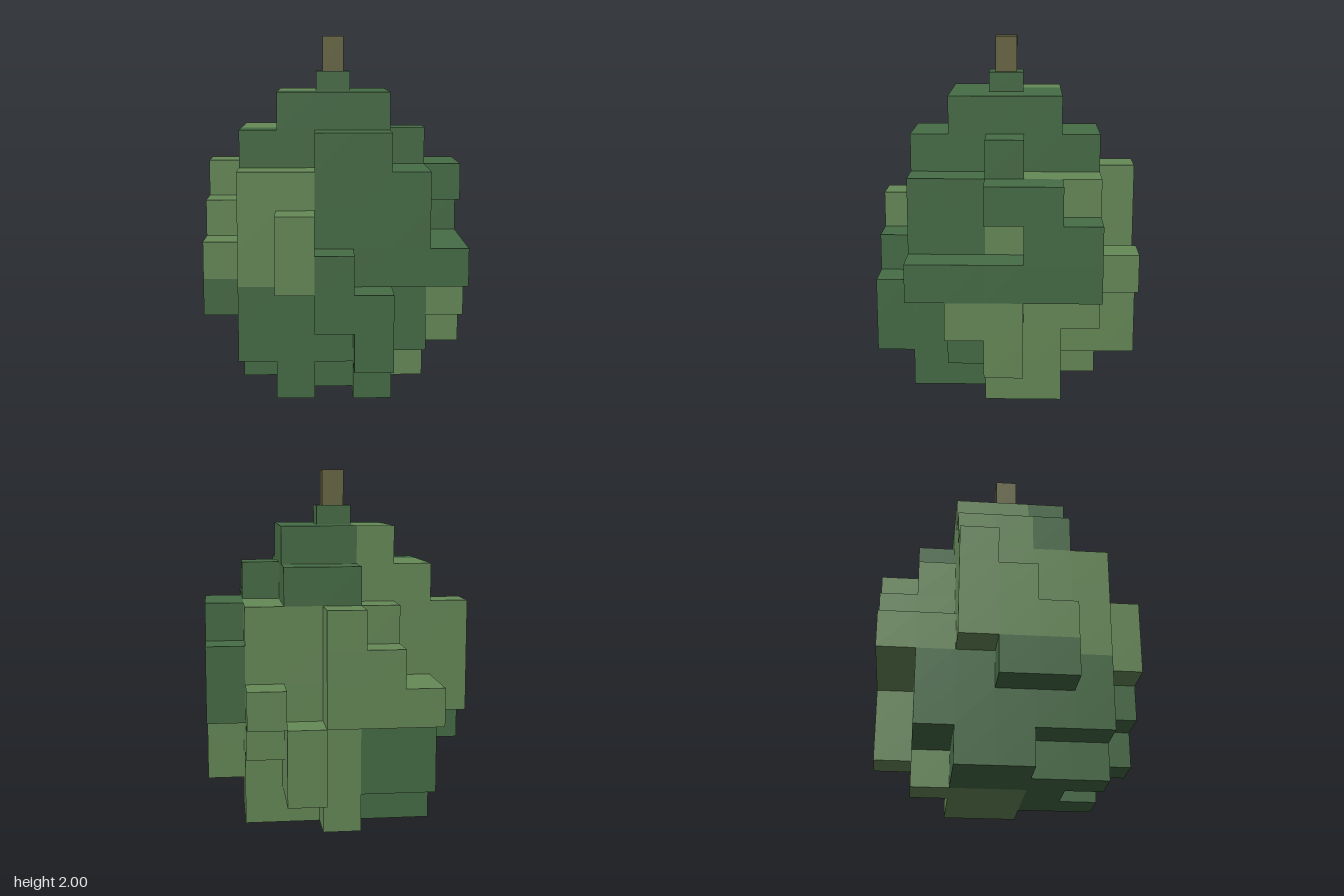
import * as THREE from 'three';
import { mergeGeometries } from 'three/addons/utils/BufferGeometryUtils.js';

const N = 7;          // cells per side
const CELL = 0.2112;  // cell size

// Block layers from the bottom up; rows run back to front, columns from -x to +x.
// D = dark leaf, L = light leaf
const LAYERS = [
  ['.......', '...L...', '.DDLLL.', '.DDLLL.', '..DDD..', '..D.D..', '.......'],
  ['....L..', '.DDLL..', '.DDLLL.', '.DDLLLL', '.DDDDD.', '.DDDD..', '....D..'],
  ['....L..', '.DDLLL.', '.DDLLL.', 'DDDLLLL', 'DDDDDDL', '.DDDD..', '...DD..'],
  ['.LLL.L.', '.LLLLLD', 'LLLLLDD', 'LLLLLDD', 'LLLDDDD', '.LLDDDD', '..LD...'],
  ['..LL...', '..LLLLD', 'LLLLLLD', 'LLLLLL.', '.LLDDD.', '.LLDDD.', '..L....'],
  ['...L...', '..LLLL.', 'LLLLLLD', '.LLLDDD', '.LLDDD.', '.LLDDD.', '.......'],
  ['.......', '...DD..', '.LLDD..', '.LLDDD.', '.DDDD..', '...DD..', '.......'],
  ['.......', '.......', '..LDD..', '..LDD..', '..DDD..', '.......', '.......'],
];

const cellAt = (x, y, z) => LAYERS[y]?.[z]?.[x] ?? '.';

// The six face directions with the turn that points a plane that way
const SIDES = [
  { d: [0, 0, 1], rx: 0, ry: 0 },
  { d: [0, 0, -1], rx: 0, ry: Math.PI },
  { d: [1, 0, 0], rx: 0, ry: Math.PI / 2 },
  { d: [-1, 0, 0], rx: 0, ry: -Math.PI / 2 },
  { d: [0, 1, 0], rx: -Math.PI / 2, ry: 0 },
  { d: [0, -1, 0], rx: Math.PI / 2, ry: 0 },
];

// Outer faces of every block of one kind
function blockFaces(kind) {
  const faces = [];
  for (let y = 0; y < LAYERS.length; y++)
    for (let z = 0; z < N; z++)
      for (let x = 0; x < N; x++) {
        if (cellAt(x, y, z) !== kind) continue;
        for (const { d, rx, ry } of SIDES) {
          if (cellAt(x + d[0], y + d[1], z + d[2]) !== '.') continue;
          const face = new THREE.PlaneGeometry(CELL, CELL);
          face.rotateX(rx).rotateY(ry);
          face.translate(
            (x - (N - 1) / 2 + d[0] / 2) * CELL,
            (y + 0.5 + d[1] / 2) * CELL,
            (z - (N - 1) / 2 + d[2] / 2) * CELL
          );
          faces.push(face);
        }
      }
  return mergeGeometries(faces);
}

function material(name, color) {
  const m = new THREE.MeshStandardMaterial({ color });
  m.name = name;
  return m;
}

export function createModel() {
  const group = new THREE.Group();
  group.name = 'blockyFruit';
  const dark = material('dark green', 0x466c46);
  const light = material('light green', 0x668a58);
  const brown = material('stem brown', 0x676642);

  const add = (name, geometry, mat) => {
    const mesh = new THREE.Mesh(geometry, mat);
    mesh.name = name;
    group.add(mesh);
    return mesh;
  };

  // Body
  add('darkBlocks', blockFaces('D'), dark);
  add('lightBlocks', blockFaces('L'), light);

  // Neck and stem
  const top = LAYERS.length * CELL;
  add('neck', new THREE.BoxGeometry(0.196, 1.8 - top, 0.196), dark).position.y = (top + 1.8) / 2;
  add('stem', new THREE.BoxGeometry(0.122, 0.2, 0.122), brown).position.y = 1.9;

  return group;
}
